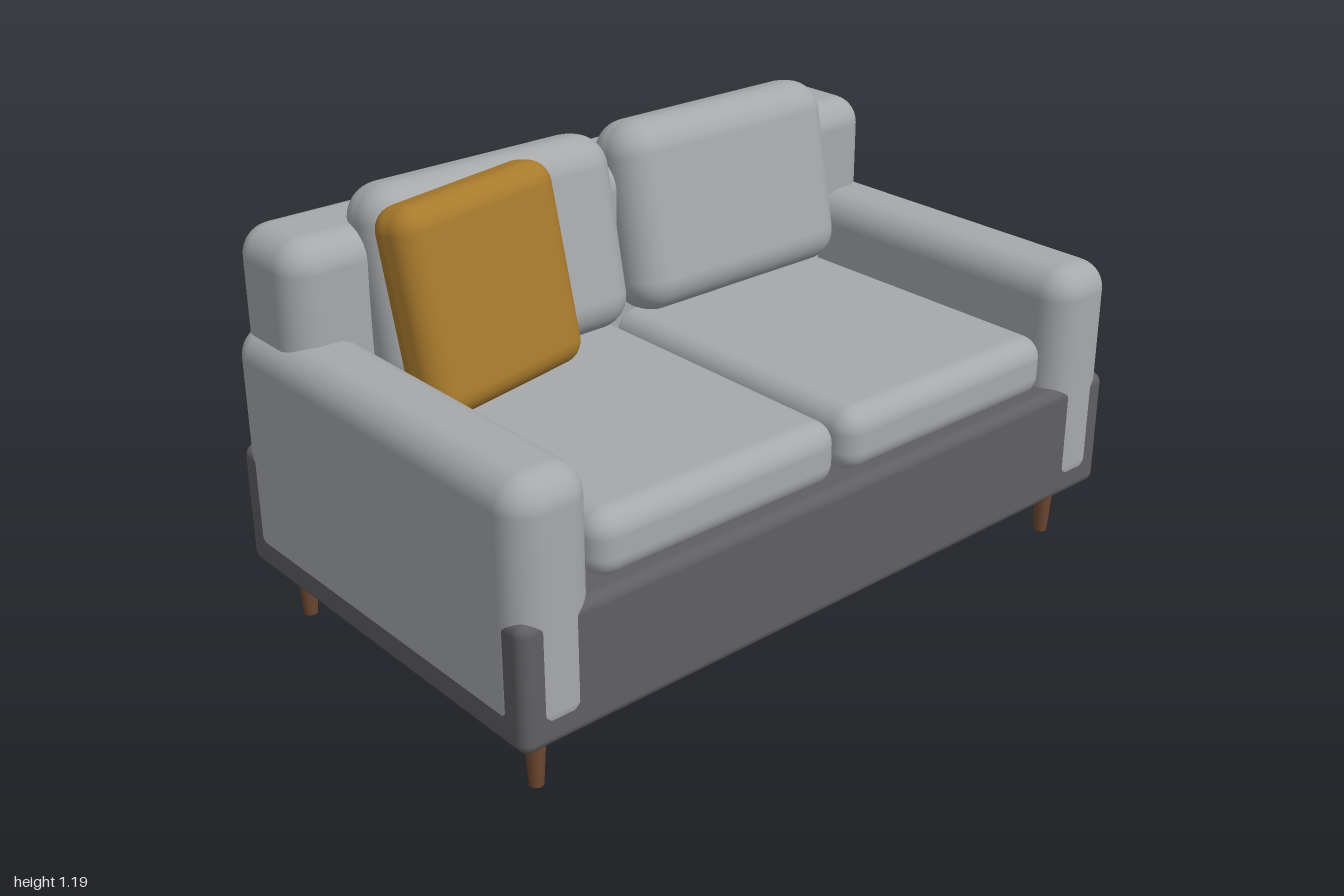
import * as THREE from 'three';
import { RoundedBoxGeometry } from 'three/addons/geometries/RoundedBoxGeometry.js';

function flat(name, color) {
  const m = new THREE.MeshStandardMaterial({ color });
  m.name = name;
  return m;
}

export function createModel() {
  const sofa = new THREE.Group();
  sofa.name = 'sofa';

  const lightFabric = flat('lightGreyFabric', 0xa6a8aa);
  const darkFabric = flat('darkGreyFabric', 0x5f5f62);
  const mustard = flat('mustardFabric', 0xa87a2c);
  const wood = flat('walnutWood', 0x6e4730);

  // Softly rounded block: size, corner radius, centre
  function block(name, material, [w, h, d], radius, [x, y, z]) {
    const mesh = new THREE.Mesh(new RoundedBoxGeometry(w, h, d, 5, radius), material);
    mesh.name = name;
    mesh.position.set(x, y, z);
    sofa.add(mesh);
    return mesh;
  }

  // Upholstered base and backrest
  block('base', darkFabric, [1.998, 0.335, 1.18], 0.03, [0, 0.3275, 0]);
  block('backrest', lightFabric, [1.94, 0.665, 0.28], 0.08, [0, 0.7525, -0.451]);

  for (const [side, s] of [['left', 1], ['right', -1]]) {
    // Arm wraps over the base, a hair proud of it
    block(side + 'Arm', lightFabric, [0.22, 0.655, 1.184], 0.08, [s * 0.89, 0.4975, 0]);

    // Seat cushion and leaning back cushion
    block(side + 'SeatCushion', lightFabric, [0.755, 0.17, 0.93], 0.06, [s * 0.388, 0.575, 0.102]);
    const back = block(side + 'BackCushion', lightFabric, [0.745, 0.522, 0.204], 0.09, [s * 0.386, 0.92, -0.32]);
    back.rotation.x = -0.2;

    // Tapered legs
    for (const [end, t] of [['Front', 1], ['Back', -1]]) {
      const leg = new THREE.Mesh(new THREE.CylinderGeometry(0.029, 0.018, 0.17, 16), wood);
      leg.name = side + end + 'Leg';
      leg.position.set(s * 0.9, 0.085, t * 0.492);
      sofa.add(leg);
    }
  }

  // Throw pillow, turned and leaning on the right back cushion
  const pillow = block('throwPillow', mustard, [0.53, 0.53, 0.15], 0.062, [-0.54, 0.931, -0.15]);
  pillow.rotation.set(-0.2, 0.2, 0, 'YXZ');

  return sofa;
}
